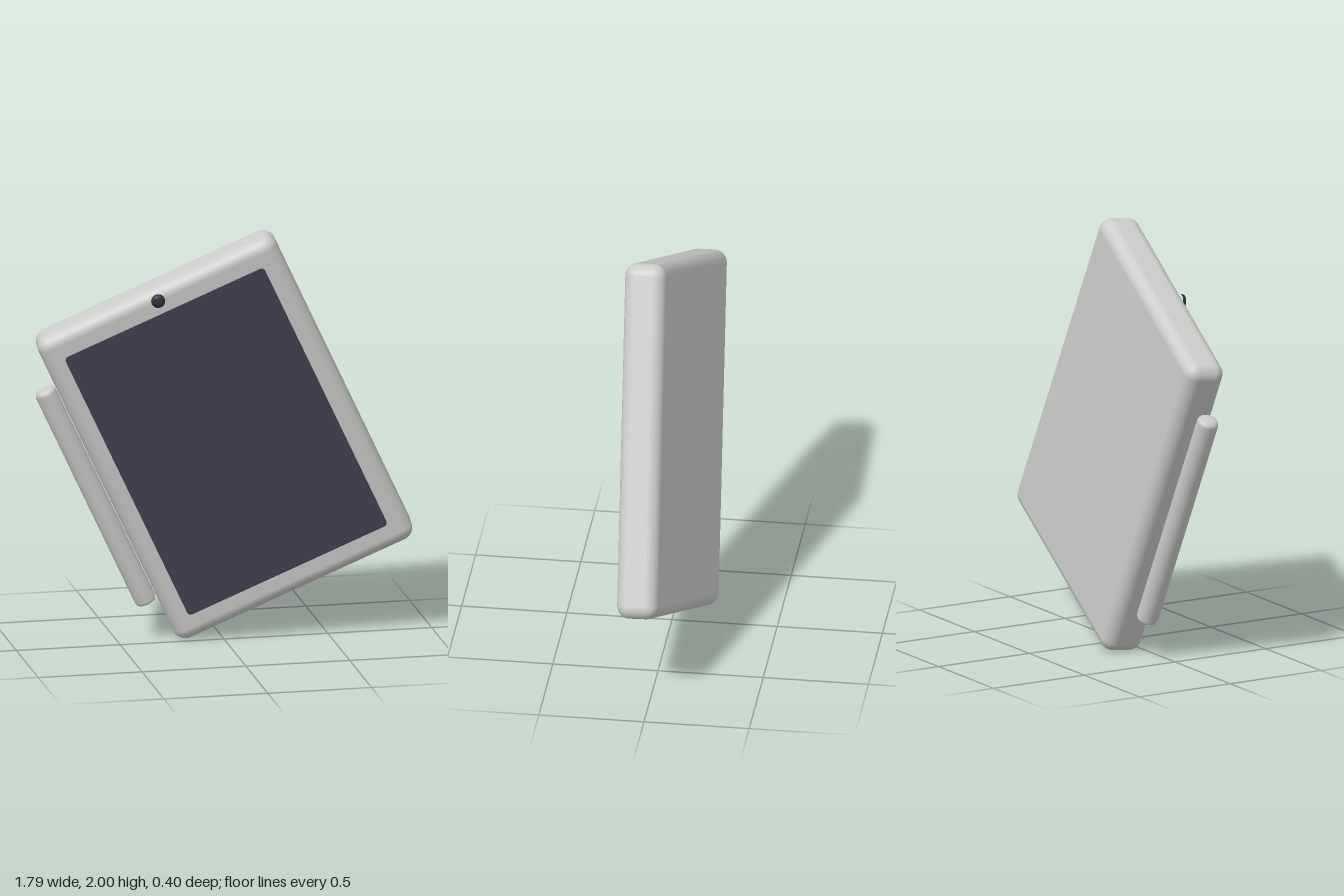
import * as THREE from 'three';
import { RoundedBoxGeometry } from 'three/addons/geometries/RoundedBoxGeometry.js';

const material = (name, color) => {
  const m = new THREE.MeshStandardMaterial({ color });
  m.name = name;
  return m;
};

function roundedRect(w, h, r) {
  const s = new THREE.Shape();
  s.absarc(w / 2 - r, h / 2 - r, r, 0, Math.PI / 2);
  s.absarc(-w / 2 + r, h / 2 - r, r, Math.PI / 2, Math.PI);
  s.absarc(-w / 2 + r, -h / 2 + r, r, Math.PI, Math.PI * 1.5);
  s.absarc(w / 2 - r, -h / 2 + r, r, Math.PI * 1.5, Math.PI * 2);
  return s;
}

export function createModel() {
  const shell = material('light grey', 0xcbcbc9);
  const glass = material('dark violet grey', 0x434054);
  const lens = material('near black blue', 0x2f333f);

  const model = new THREE.Group();
  model.name = 'tablet';
  const add = (name, geometry, mat, x, y, z) => {
    const mesh = new THREE.Mesh(geometry, mat);
    mesh.name = name;
    mesh.position.set(x, y, z);
    model.add(mesh);
    return mesh;
  };

  // Slab with softly rounded edges
  add('body', new RoundedBoxGeometry(1.232, 1.68, 0.2, 5, 0.06), shell, 0, 0, 0);

  // Screen plate, slightly proud of the front
  const plate = new THREE.ExtrudeGeometry(roundedRect(1.034, 1.436, 0.02), {
    depth: 0.009, bevelEnabled: false, curveSegments: 5,
  });
  add('screen', plate, glass, 0, 0, 0.1);

  // Camera button above the screen
  const dome = [[0.033, 0], [0.033, 0.01], [0.028, 0.018], [0.017, 0.023], [0, 0.025]];
  const button = new THREE.LatheGeometry(dome.map(([x, y]) => new THREE.Vector2(x, y)), 20);
  add('camera', button, lens, 0, 0.785, 0.1).rotation.x = Math.PI / 2;

  // Stylus along the side, with bevelled ends
  const half = 0.595, r = 0.052, b = 0.022;
  const pen = [[0, -half], [r - b, -half], [r - b * 0.3, -half + b * 0.3], [r, -half + b],
    [r, half - b], [r - b * 0.3, half - b * 0.3], [r - b, half], [0, half]];
  const penGeometry = new THREE.LatheGeometry(pen.map(([x, y]) => new THREE.Vector2(x, y)), 24);
  add('stylus', penGeometry, shell, -0.671, 0, 0.04);

  // Lean the whole tablet: across, up and facing directions
  const across = new THREE.Vector3(0.93, 0.43, 0.14).normalize();
  const facing = across.clone().cross(new THREE.Vector3(-0.61, 1.3, 0.045)).normalize();
  const up = facing.clone().cross(across);
  model.quaternion.setFromRotationMatrix(new THREE.Matrix4().makeBasis(across, up, facing));
  model.position.y = 1;

  const root = new THREE.Group();
  root.add(model);
  return root;
}
